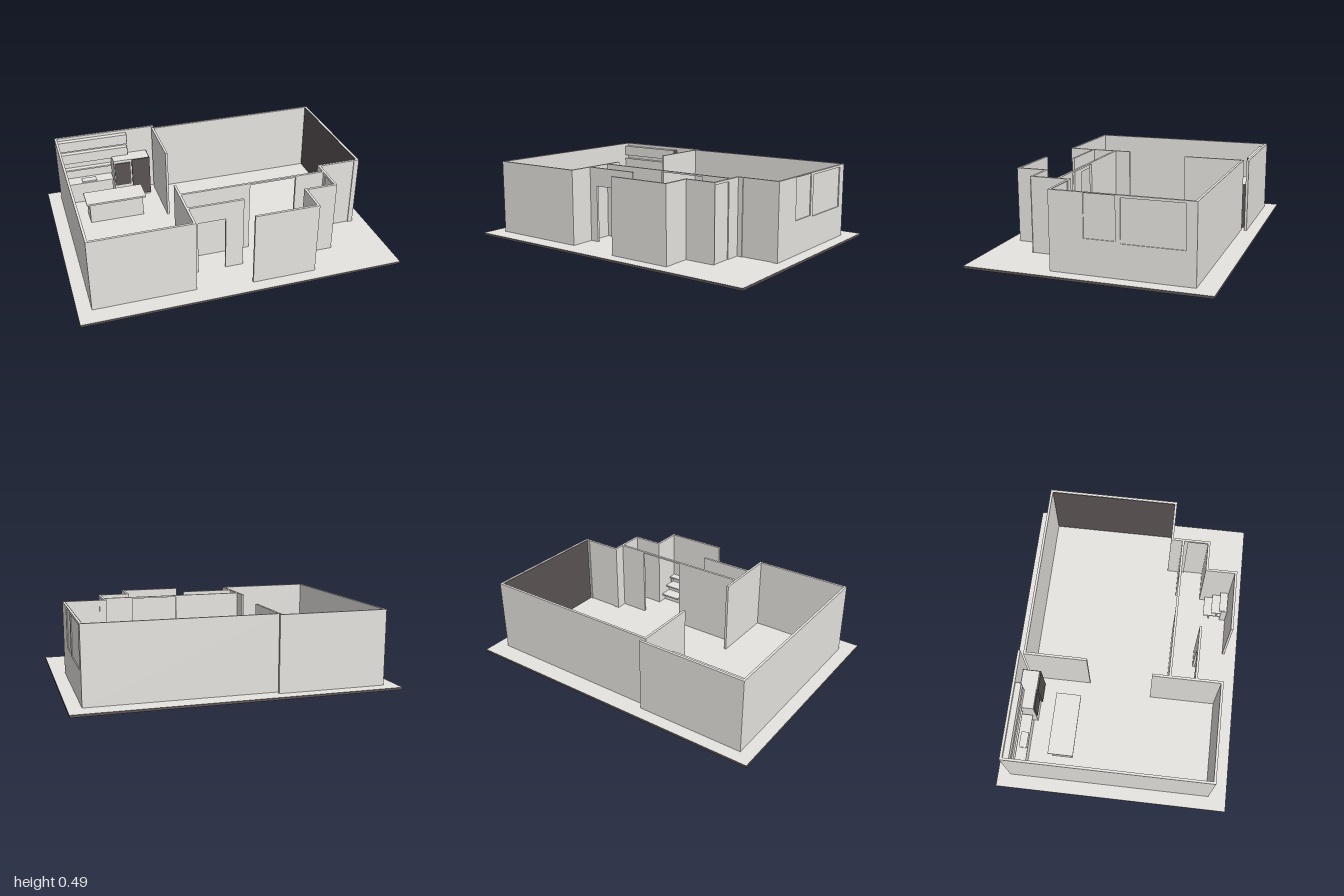
import * as THREE from 'three';

const wallMat = new THREE.MeshStandardMaterial({ color: 0xe6e4e0 });
wallMat.name = 'warm light grey';
const darkMat = new THREE.MeshStandardMaterial({ color: 0x5a5354 });
darkMat.name = 'dark grey';

const BASE = 0.015, TOP = 0.485;

export function createModel() {
  const model = new THREE.Group();
  model.name = 'openRoofHouse';

  // Box given by its lower and upper limits on each axis
  function block(name, x0, x1, y0, y1, z0, z1, mat = wallMat, parent = model) {
    const mesh = new THREE.Mesh(new THREE.BoxGeometry(x1 - x0, y1 - y0, z1 - z0), mat);
    mesh.position.set((x0 + x1) / 2, (y0 + y1) / 2, (z0 + z1) / 2);
    mesh.name = name;
    parent.add(mesh);
  }

  // Straight wall along x or z; openings are {a, b, y0, y1, panel}
  function wall(name, axis, from, to, c0, c1, openings = []) {
    const group = new THREE.Group();
    group.name = name;
    model.add(group);
    const piece = (part, a, b, y0, y1, inset = 0) => {
      if (b - a < 0.001 || y1 - y0 < 0.001) return;
      const p = c0 + inset, q = c1 - inset;
      if (axis === 'x') block(part, a, b, y0, y1, p, q, wallMat, group);
      else block(part, p, q, y0, y1, a, b, wallMat, group);
    };
    let start = from;
    for (const o of openings) {
      piece('pier', start, o.a, BASE, TOP);
      piece('sill', o.a, o.b, BASE, o.y0);
      piece('lintel', o.a, o.b, o.y1, TOP);
      if (o.panel) piece(o.panel, o.a, o.b, o.y0, o.y1, 0.006);
      start = o.b;
    }
    piece('pier', start, to, BASE, TOP);
  }

  // Slab with dark edges
  block('floorSlab', -1, 1, 0, BASE, -0.737, 0.733,
    [darkMat, darkMat, wallMat, wallMat, darkMat, darkMat]);

  // Outer walls
  wall('kitchenBackWall', 'x', -0.915, -0.23, -0.657, -0.641);
  wall('rightSideWall', 'z', -0.641, 0.605, -0.915, -0.9);
  wall('frontRoomWall', 'x', -0.915, -0.302, 0.605, 0.62);
  wall('frontRoomSideWall', 'z', 0.183, 0.62, -0.302, -0.287);
  wall('livingBackWall', 'x', -0.25, 0.917, -0.62, -0.605);
  wall('leftSideWall', 'z', -0.605, 0.212, 0.902, 0.917, [
    { a: -0.56, b: -0.195, y0: 0.215, y1: 0.47, panel: 'largeWindow' },
    { a: -0.165, b: 0.02, y0: 0.225, y1: 0.48, panel: 'smallWindow' },
  ]);
  wall('terraceWall', 'x', 0.635, 0.917, 0.212, 0.227, [
    { a: 0.68, b: 0.885, y0: BASE, y1: 0.48, panel: 'terraceDoor' },
  ]);
  wall('sideHallWall', 'z', 0.227, 0.468, 0.635, 0.65, [
    { a: 0.325, b: 0.466, y0: BASE, y1: 0.47, panel: 'sideDoor' },
  ]);
  wall('porchStepWall', 'x', 0.44, 0.635, 0.453, 0.468);
  wall('porchSideWall', 'z', 0.468, 0.64, 0.44, 0.455);
  wall('porchFrontWall', 'x', 0.055, 0.455, 0.64, 0.655);

  // Inner walls
  wall('kitchenDivider', 'z', -0.605, -0.225, -0.25, -0.235);
  wall('hallWall', 'x', -0.287, 0.635, 0.285, 0.3, [
    { a: 0.15, b: 0.45, y0: BASE, y1: 0.475 },
  ]);
  wall('entranceWall', 'x', -0.287, 0.055, 0.446, 0.461, [
    { a: -0.232, b: -0.058, y0: BASE, y1: 0.37 },
  ]);

  // Dark finish on the inner face of the windowed wall
  block('innerWallFinish', 0.899, 0.902, BASE, TOP - 0.002, -0.605, 0.212, darkMat);

  // Kitchen along the back wall
  const kitchen = new THREE.Group();
  kitchen.name = 'kitchen';
  model.add(kitchen);
  const unit = (name, x0, x1, y0, y1, z0, z1, mat = wallMat) =>
    block(name, x0, x1, y0, y1, z0, z1, mat, kitchen);
  unit('baseCabinet', -0.895, -0.555, BASE, 0.155, -0.64, -0.558);
  unit('worktop', -0.9, -0.55, 0.155, 0.165, -0.641, -0.55);
  unit('sink', -0.765, -0.665, 0.165, 0.175, -0.605, -0.556);
  unit('lowerShelf', -0.9, -0.55, 0.24, 0.25, -0.641, -0.605);
  for (const [name, y] of [['upperCabinet', 0.3], ['topCabinet', 0.395]]) {
    unit(name, -0.9, -0.434, y, y + 0.07, -0.641, -0.605);
    unit(name + 'End', -0.434, -0.43, y, y + 0.07, -0.641, -0.605, darkMat);
  }
  unit('tallUnit', -0.545, -0.3, BASE, 0.31, -0.635, -0.532);
  unit('tallUnitSide', -0.3, -0.295, BASE, 0.31, -0.635, -0.532, darkMat);
  unit('applianceFront', -0.42, -0.295, 0.03, 0.31, -0.532, -0.52, darkMat);
  unit('ovenFront', -0.54, -0.43, 0.12, 0.29, -0.532, -0.526, darkMat);

  // Kitchen island
  const island = new THREE.Group();
  island.name = 'kitchenIsland';
  model.add(island);
  block('islandBody', -0.765, -0.405, BASE, 0.155, -0.405, -0.275, wallMat, island);
  block('islandTop', -0.785, -0.385, 0.155, 0.167, -0.42, -0.26, wallMat, island);

  // Stepped rack inside the porch
  const rack = new THREE.Group();
  rack.name = 'steppedRack';
  model.add(rack);
  for (let i = 0; i < 3; i++) {
    const z = 0.485 + i * 0.05, y = 0.06 + i * 0.05;
    block('rackShelf', 0.305, 0.438, y, y + 0.01, z, 0.637, wallMat, rack);
    block('rackBoard', 0.305, 0.438, y - 0.045, y, z + 0.035, z + 0.043, wallMat, rack);
  }
  for (const x of [0.302, 0.433]) block('rackSide', x, x + 0.006, BASE, 0.165, 0.6, 0.638, wallMat, rack);

  return model;
}
